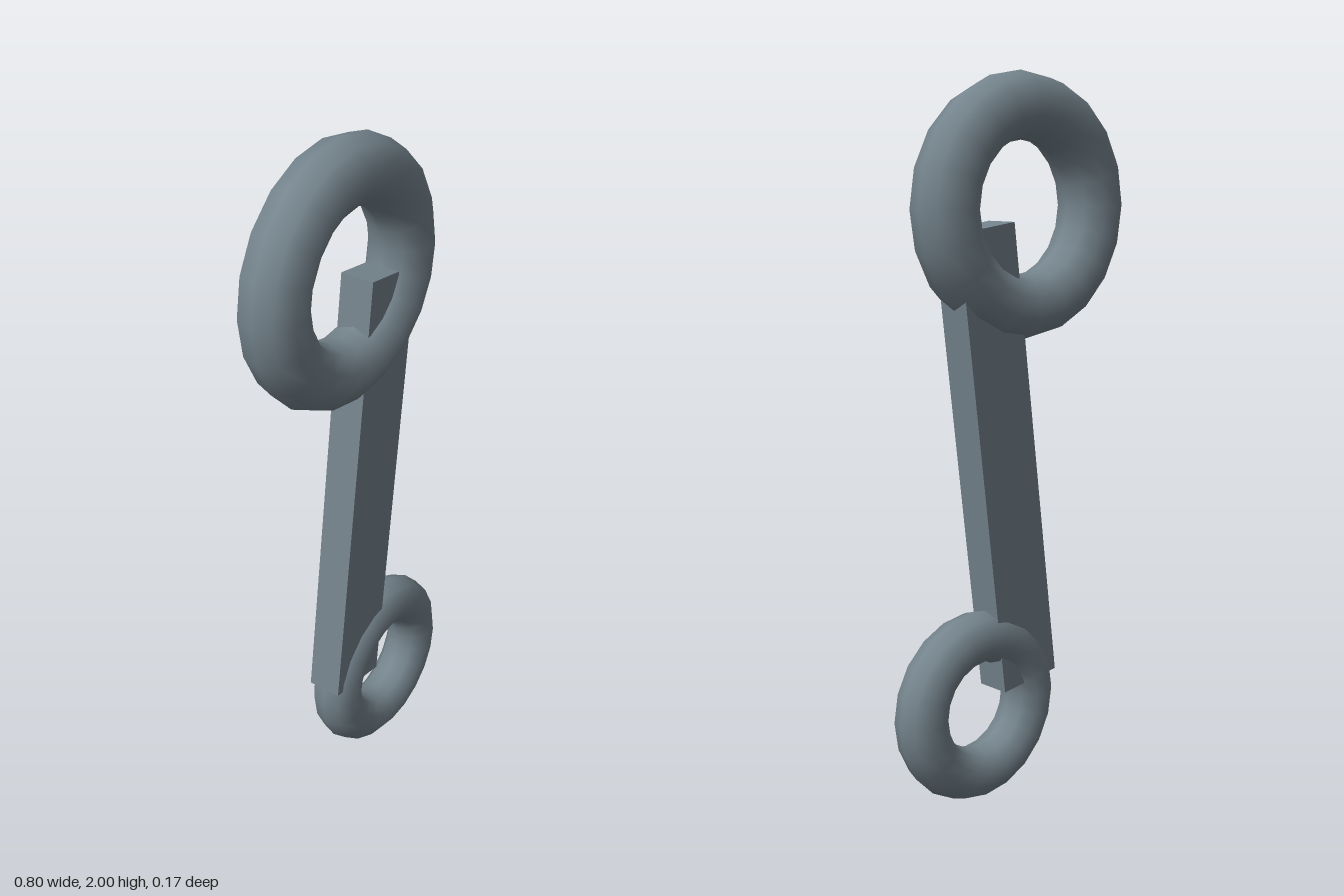
import * as THREE from 'three';

export function createModel() {
  const group = new THREE.Group();
  const steel = new THREE.MeshStandardMaterial({ color: 0x75848d });
  steel.name = 'steel grey';

  const add = (name, geometry, x, y, tilt = 0) => {
    const mesh = new THREE.Mesh(geometry, steel);
    mesh.name = name;
    mesh.position.set(x, y, 0);
    mesh.rotation.z = tilt;
    group.add(mesh);
  };

  // Ring ends
  add('largeRing', new THREE.TorusGeometry(0.269, 0.091, 10, 20), -0.04, 1.64);
  add('smallRing', new THREE.TorusGeometry(0.196, 0.073, 10, 20), 0.131, 0.273);

  // Leaning bar whose ends reach into both rings
  add('shank', new THREE.BoxGeometry(0.197, 1.286, 0.1), 0.047, 0.954, -0.125);

  return group;
}
